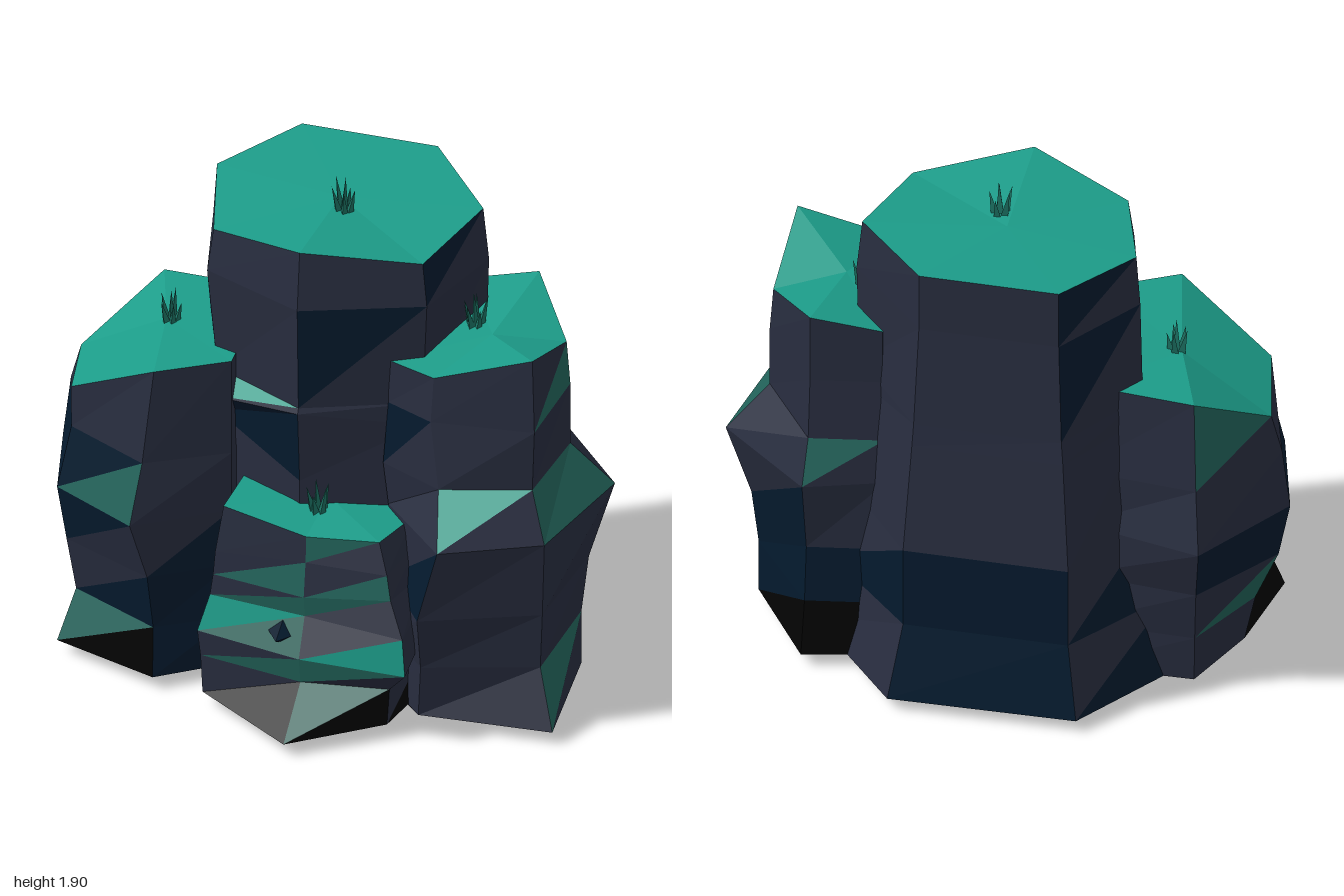
import * as THREE from 'three';

const flat = (name, color) => Object.assign(new THREE.MeshStandardMaterial({ color }), { name });

export function createModel() {
  const model = new THREE.Group();
  model.name = 'rockOutcrop';
  const materials = [
    flat('slate', 0x282d3f), flat('navy', 0x041a2e), flat('teal', 0x1c9c89),
    flat('mossShade', 0x22635a), flat('black', 0x030303),
  ];
  const grassMaterial = flat('grass', 0x1c7263);
  const codes = 'sntdk';

  // A faceted column: each level scales the ring about the centre, vertex by vertex.
  // Bands carry two colour codes per side, running front, right, back, left.
  // Nudges [level, vertex, dx, dy] shift single corners.
  function column(name, [cx, cz], ring, levels, topHeights, capY, bands, nudges) {
    const buckets = materials.map(() => []);
    const add = (code, ...pts) => buckets[codes.indexOf(code)].push(...pts.flat());
    const n = ring.length;
    const rows = levels.map(([y, ...scales], k) => ring.map(([x, z], i) => [
      cx + (x - cx) * scales[i],
      k === levels.length - 1 ? topHeights[i] : y,
      cz + (z - cz) * scales[i],
    ]));
    nudges.forEach(([level, i, dx, dy]) => {
      rows[level][i][0] += dx;
      rows[level][i][1] += dy;
    });
    bands.forEach((band, k) => {
      for (let i = 0; i < n; i++) {
        const j = (i + 1) % n;
        const [a, b, c, d] = [rows[k][i], rows[k][j], rows[k + 1][j], rows[k + 1][i]];
        add(band[2 * i], a, b, c);
        add(band[2 * i + 1], a, c, d);
      }
    });
    // mossy cap and shallow pointed underside
    const top = rows[rows.length - 1];
    for (let i = 0; i < n; i++) {
      const j = (i + 1) % n;
      add('t', top[i], top[j], [cx, capY, cz]);
      add('k', rows[0][j], rows[0][i], [0, 0, -0.15]);
    }
    const geometry = new THREE.BufferGeometry();
    let start = 0;
    buckets.forEach((bucket, m) => {
      geometry.addGroup(start, bucket.length / 3, m);
      start += bucket.length / 3;
    });
    geometry.setAttribute('position', new THREE.Float32BufferAttribute(buckets.flat(), 3));
    geometry.computeVertexNormals();
    const mesh = new THREE.Mesh(geometry, materials);
    mesh.name = name;
    model.add(mesh);
  }

  column('mainPillar', [0, -0.17],
    [[0, 0.28], [0.4, 0.12], [0.5, -0.25], [0.23, -0.56], [-0.27, -0.56], [-0.48, -0.25], [-0.37, 0.12]],
    [
      [0.05, 1, 1, 1.35, 1.36, 1.33, 1.38, 1],
      [0.33, 1, 1, 1.25, 1.18, 1.18, 1.25, 1],
      [0.65, 1, 1, 1.12, 1.18, 1.18, 1.12, 1],
      [1.08, 1.05, 1, 1.02, 1.08, 1.08, 1.06, 1.12],
      [1.17, 1.03, 1, 1.02, 1.06, 1.05, 1.05, 0.97],
      [1.57, 1.06, 1.05, 1.04, 1, 1, 1.03, 1.05],
      [1.78, 1, 1, 1, 1, 1, 1, 1],
    ],
    [1.79, 1.73, 1.77, 1.8, 1.8, 1.77, 1.73], 1.77,
    ['ssssssnnnsksss', 'ssssnsnnnsssss', 'ssssssssssssnn',
      'ssssssssssssst', 'snsssssssnnnss', 'sssnsssssnssss'],
    [[2, 0, 0, 0.22], [2, 6, 0, 0.36], [3, 0, 0, 0.07]]);

  column('rightPillar', [-0.6, -0.05],
    [[-0.51, 0.36], [-0.27, 0.22], [-0.32, -0.34], [-0.71, -0.36], [-0.93, -0.1], [-0.86, 0.22]],
    [
      [0.05, 1.1, 1, 1.1, 1, 0.7, 1.15],
      [0.24, 1.05, 1, 1.1, 1.05, 0.82, 0.95],
      [0.45, 1.1, 1, 1.1, 1.15, 1.08, 1.05],
      [0.67, 1.2, 1, 1.1, 1.35, 1.21, 1.15],
      [0.9, 1.07, 1, 1.1, 1.15, 1.12, 1],
      [1.1, 1, 1, 1, 1, 1, 1],
    ],
    [1.26, 1.27, 1.25, 1.24, 1.04, 1.06], 1.235,
    ['nnsssssskkkd', 'nnssssdsssns', 'nsssssnnsssn', 'ssssssssnndn', 'sssssssdssss'],
    [[2, 0, -0.02, 0], [3, 0, -0.08, 0], [4, 0, -0.04, 0]]);

  column('leftPillar', [0.6, -0.05],
    [[0.48, 0.24], [0.83, 0.2], [0.84, -0.15], [0.65, -0.42], [0.4, -0.38], [0.29, 0.17]],
    [
      [0.05, 1.4, 1.5, 1.2, 1.25, 1.2, 1],
      [0.26, 1.5, 1.2, 1.2, 1.15, 1.15, 1],
      [0.48, 1.7, 1.25, 1.3, 1.1, 1.1, 1],
      [0.77, 1.73, 1.3, 1.65, 1.22, 1.1, 1],
      [0.94, 1.15, 1, 1.05, 1.05, 1.05, 1.05],
      [1.18, 1.05, 1.05, 1.05, 1, 1, 1],
      [1.4, 1, 1, 1, 1, 1, 1],
    ],
    [1.35, 1.46, 1.35, 1.45, 1.4, 1.35], 1.39,
    ['sssdknkknnss', 'ssssnnnnnnss', 'ssssnsssnnns', 'stddsssdssss',
      'sssssssssssn', 'ssdsssssssss'],
    [[0, 0, 0.03, 0], [1, 0, 0.06, 0], [2, 0, 0.09, 0], [3, 0, 0.17, 0], [4, 0, 0.05, -0.01]]);

  column('frontLedge', [0.08, 0.2],
    [[0.08, 0.46], [0.34, 0.42], [0.39, 0.2], [0.1, 0], [-0.24, 0.15], [-0.24, 0.4]],
    [
      [0.05, 1.92, 1.15, 1.1, 1, 1.15, 1.2],
      [0.2, 1.2, 1.2, 1.1, 1, 1.15, 1.22],
      [0.3, 1.27, 1.5, 1.15, 1, 1.15, 1.25],
      [0.44, 1.02, 1.45, 1.15, 1, 1.1, 1.13],
      [0.52, 1.06, 1.22, 1.1, 1, 1.05, 1.1],
      [0.65, 0.98, 1.15, 1.05, 1, 1, 1.08],
      [0.78, 0.95, 1, 1, 1, 1, 1],
    ],
    [0.75, 0.76, 0.75, 0.78, 0.79, 0.79], 0.78,
    ['kdksssssssks', 'sdssssssssds', 'tsssssssssdt', 'sdssssssssds',
      'dsssssssssds', 'sdssssssssss'],
    [[4, 1, 0, 0.04], [5, 5, 0, -0.04]]);

  // small dark stone chip on the ledge face
  const chip = new THREE.Mesh(new THREE.ConeGeometry(0.1, 0.14, 4).toNonIndexed(), materials[1]);
  chip.geometry.computeVertexNormals();
  chip.name = 'stoneChip';
  chip.position.set(0, 0.365, 0.475);
  chip.rotation.x = Math.PI / 2;
  chip.scale.z = 0.75;
  model.add(chip);

  // grass tufts: one upright blade with a leaning circle around it
  const blade = new THREE.ConeGeometry(0.016, 1, 3, 1).toNonIndexed();
  blade.translate(0, 0.5, 0);
  blade.computeVertexNormals();
  [[0.04, 1.76, -0.09, 0.14], [-0.58, 1.23, -0.04, 0.13],
    [0.52, 1.38, -0.1, 0.14], [0.07, 0.77, 0.29, 0.13]].forEach(([x, y, z, h], t) => {
    const tuft = new THREE.Group();
    tuft.name = 'grassTuft';
    tuft.position.set(x, y, z);
    for (let i = 0; i < 6; i++) {
      const angle = i * 1.26 + t;
      const r = i ? 0.02 : 0;
      const leaf = new THREE.Mesh(blade, grassMaterial);
      leaf.name = 'blade';
      leaf.position.set(Math.cos(angle) * r, 0, Math.sin(angle) * r);
      leaf.scale.y = h * (i ? 0.6 + 0.1 * (i % 4) : 1);
      const lean = i ? 0.22 : 0.05;
      leaf.rotation.set(Math.sin(angle) * lean, 0, -Math.cos(angle) * lean);
      tuft.add(leaf);
    }
    model.add(tuft);
  });
  return model;
}
